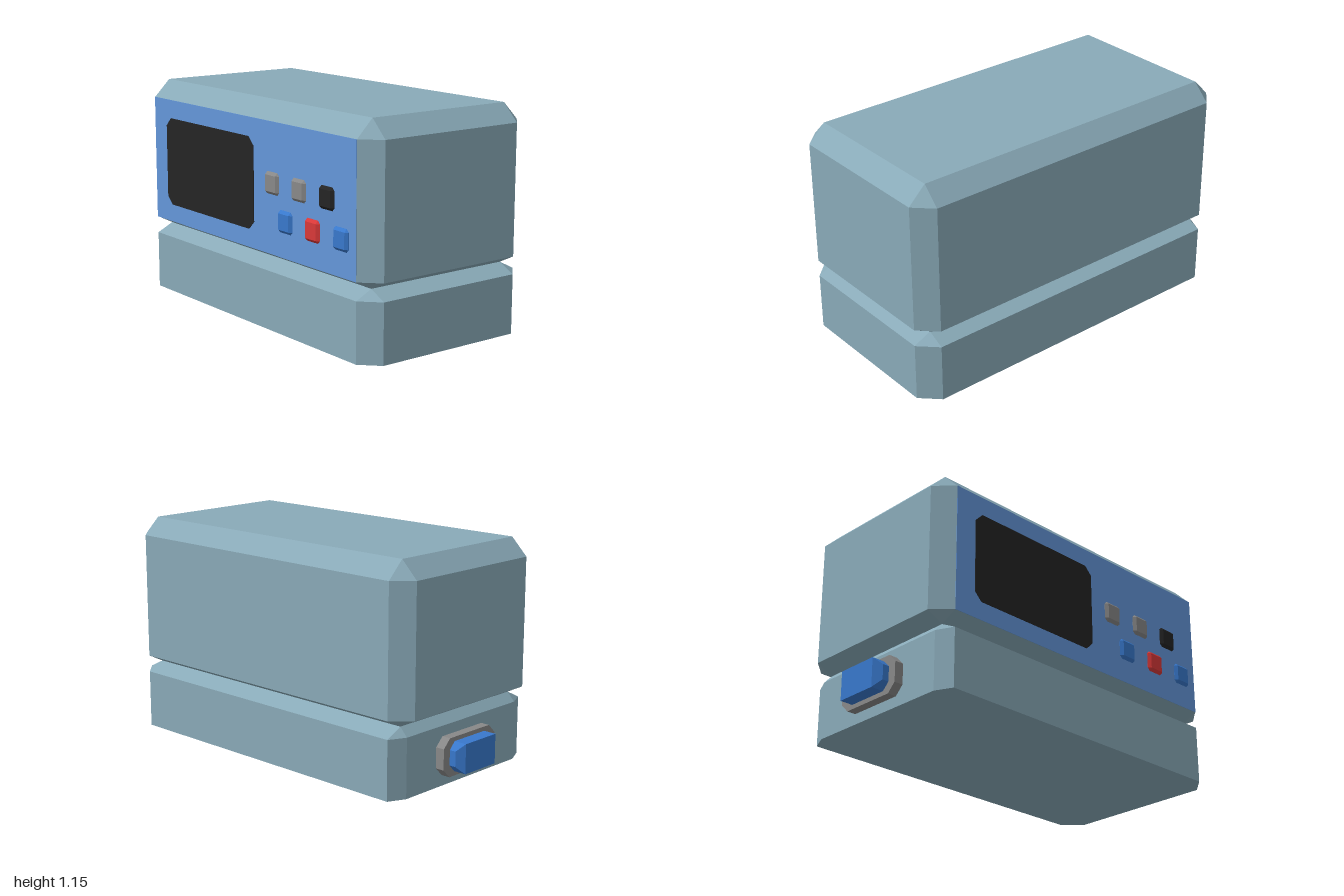
import * as THREE from 'three';
import { ConvexGeometry } from 'three/addons/geometries/ConvexGeometry.js';

const mat = (name, color) => Object.assign(new THREE.MeshStandardMaterial({ color }), { name });

export function createModel() {
  const shell = mat('shell blue-grey', 0x89aab8);
  const panelBlue = mat('panel blue', 0x6497da);
  const black = mat('black', 0x242424);
  const grey = mat('grey', 0x888888);
  const blue = mat('button blue', 0x3878cc);
  const red = mat('red', 0xd83838);

  const model = new THREE.Group();
  model.name = 'boxedDevice';

  const add = (name, geometry, material, parent = model) => {
    const mesh = new THREE.Mesh(geometry, material);
    mesh.name = name;
    parent.add(mesh);
    return mesh;
  };

  // Corners of a rectangle; with outer and inner limits, of a cut-corner octagon
  const rect = ([a0, a1], [b0, b1]) => [[a0, b0], [a1, b0], [a1, b1], [a0, b1]];
  const octagon = (aOut, aIn, bOut, bIn) => [...rect(aOut, bIn), ...rect(aIn, bOut)];
  const atY = (ring, y) => ring.map(([x, z]) => new THREE.Vector3(x, y, z));
  const atX = (ring, x) => ring.map(([z, y]) => new THREE.Vector3(x, y, z));
  const atZ = (ring, z) => ring.map(([x, y]) => new THREE.Vector3(x, y, z));
  const hull = (...rings) => new ConvexGeometry(rings.flat());

  // Bevelled upper housing and the base below its V-shaped groove
  const xIn = [-0.84, 0.905], zIn = [-0.42, 0.405], zOut = [-0.51, 0.495];
  const flat = rect(xIn, zIn);
  const upper = octagon([-0.93, 0.997], xIn, zOut, zIn);
  const lower = octagon([-0.882, 0.997], xIn, zOut, zIn);
  add('upperHousing', hull(atY(flat, 0.35), atY(upper, 0.395), atY(upper, 1.06), atY(flat, 1.15)), shell);
  add('base', hull(atY(lower, 0), atY(lower, 0.305), atY(flat, 0.35)), shell);

  // Front panel and screen, thin flat plates
  const plate = (ring, z) => hull(atZ(ring, z - 0.003), atZ(ring, z));
  add('frontPanel', plate(rect(xIn, [0.395, 1.06]), 0.497), panelBlue);
  add('screen', plate(octagon([-0.72, 0.093], [-0.677, 0.05], [0.49, 0.962], [0.533, 0.919]), 0.5), black);

  // Two staggered rows of bevelled buttons
  const buttons = new THREE.Group();
  buttons.name = 'buttons';
  model.add(buttons);
  const out = [-0.056, 0.056], inner = [-0.041, 0.041];
  const foot = octagon(out, inner, out, inner);
  const buttonGeometry = hull(atZ(foot, 0.49), atZ(foot, 0.498), atZ(rect(inner, inner), 0.512));
  const rows = [
    { x: 0.252, y: 0.755, colors: [grey, grey, black] },
    { x: 0.36, y: 0.578, colors: [blue, red, blue] },
  ];
  rows.forEach(({ x, y, colors }, r) => colors.forEach((color, i) => {
    add(`button${r * 3 + i + 1}`, buttonGeometry, color, buttons).position.set(x + i * 0.218, y, 0);
  }));

  // Side knob: grey collar and blue cap with bevelled ends
  const collar = octagon([-0.205, 0.185], [-0.16, 0.14], [0.055, 0.252], [0.1, 0.207]);
  add('knobCollar', hull(atX(collar, -0.87), atX(collar, -0.93)), grey);
  const capZ = [-0.125, 0.103], capY = [0.078, 0.23];
  const cap = octagon([-0.16, 0.14], capZ, capY, [0.115, 0.193]);
  add('knobCap', hull(atX(cap, -0.92), atX(cap, -0.965), atX(rect(capZ, capY), -1)), blue);

  return model;
}
